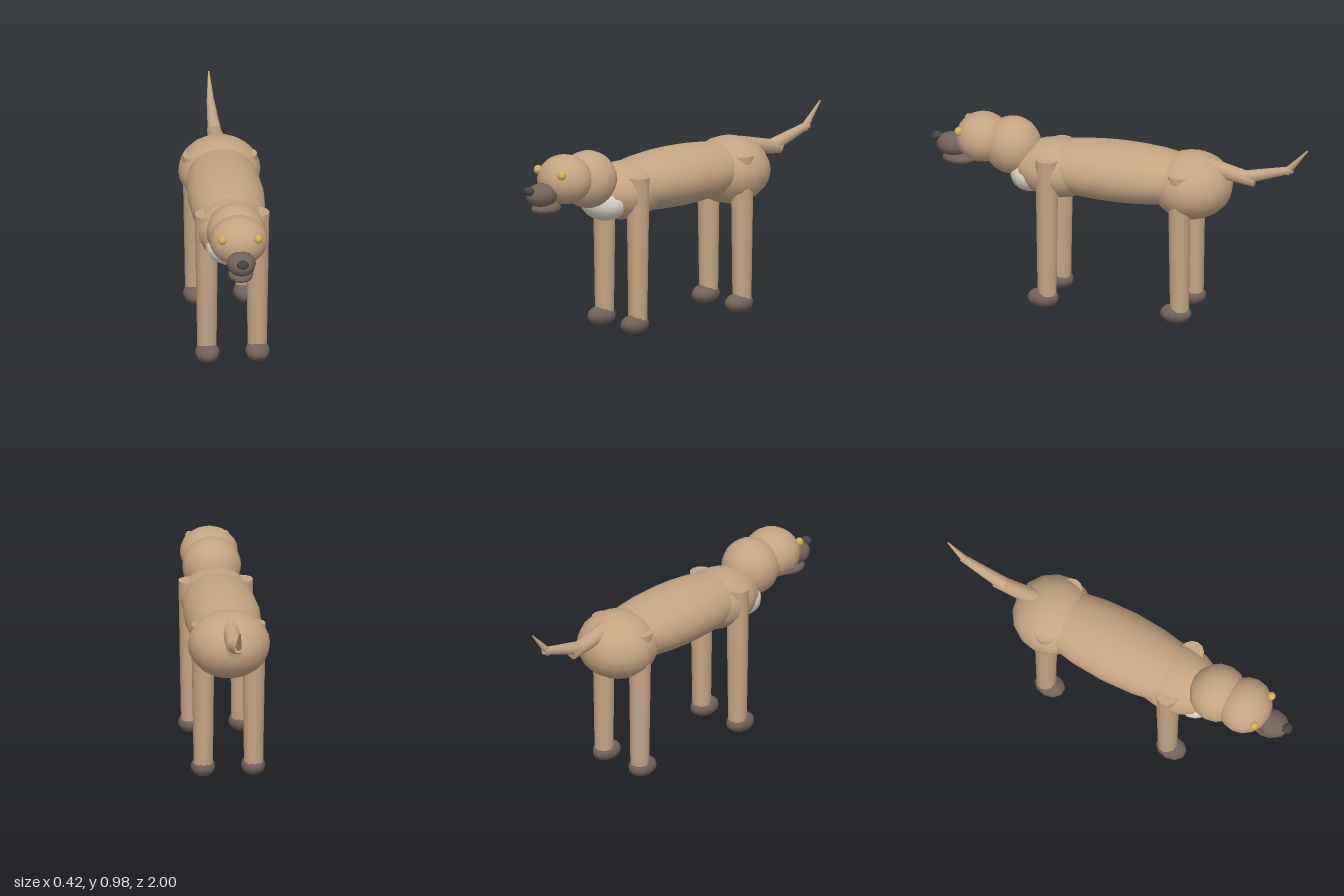
import * as THREE from 'three';

const mat = (color) => new THREE.MeshStandardMaterial({ color });

export function createModel() {
  const root = new THREE.Group();
  const fur = mat(0xc4a582), dark = mat(0x73625a), black = mat(0x4a4545);
  const cream = mat(0xdcd6c8), amber = mat(0xd0b45c);

  // stretched sphere: centre and half sizes
  function ball(name, material, pos, half, w = 16, h = 12) {
    const mesh = new THREE.Mesh(new THREE.SphereGeometry(1, w, h), material);
    mesh.name = name;
    mesh.position.set(...pos);
    mesh.scale.set(...half);
    root.add(mesh);
    return mesh;
  }

  // tapered cylinder between two points
  function limb(name, material, from, to, r0, r1, sides = 12) {
    const a = new THREE.Vector3(...from), b = new THREE.Vector3(...to);
    const dir = b.clone().sub(a);
    const mesh = new THREE.Mesh(new THREE.CylinderGeometry(r1, r0, dir.length(), sides), material);
    mesh.name = name;
    mesh.position.copy(a).add(b).multiplyScalar(0.5);
    mesh.quaternion.setFromUnitVectors(new THREE.Vector3(0, 1, 0), dir.normalize());
    root.add(mesh);
    return mesh;
  }

  // torso
  ball('torso', fur, [0, 0.74, 0], [0.195, 0.152, 0.56], 20, 14);
  ball('hips', fur, [0, 0.715, -0.38], [0.21, 0.172, 0.21]);
  ball('chest', fur, [0, 0.722, 0.33], [0.183, 0.148, 0.24]);
  ball('chestPatch', cream, [0, 0.688, 0.47], [0.145, 0.102, 0.107]);

  // neck and head
  ball('neck', fur, [0, 0.815, 0.572], [0.15, 0.147, 0.147]);
  ball('head', fur, [0, 0.84, 0.73], [0.148, 0.126, 0.136]);
  ball('muzzle', dark, [0, 0.782, 0.885], [0.075, 0.06, 0.09], 12, 8);
  ball('lowerJaw', dark, [0, 0.71, 0.855], [0.064, 0.031, 0.088], 12, 8);
  ball('nose', black, [0, 0.815, 0.972], [0.031, 0.023, 0.028], 8, 6);

  // eyes, legs and paws on both sides
  for (const side of [1, -1]) {
    const label = side > 0 ? 'left' : 'right';
    ball(label + 'Eye', amber, [side * 0.091, 0.89, 0.831], [0.022, 0.024, 0.022], 8, 6);
    for (const [end, z] of [['Front', 0.35], ['Hind', -0.352]]) {
      limb(label + end + 'Leg', fur, [side * 0.128, 0.06, z], [side * 0.13, 0.815, z], 0.049, 0.06);
      ball(label + end + 'Paw', dark, [side * 0.128, 0.05, z + 0.02], [0.063, 0.05, 0.083], 10, 8);
    }
  }

  // tail in three tapering lengths
  limb('tailBase', fur, [0, 0.83, -0.45], [0, 0.778, -0.715], 0.047, 0.034, 10);
  limb('tailMiddle', fur, [0, 0.79, -0.66], [0, 0.862, -0.91], 0.036, 0.019, 10);
  limb('tailTip', fur, [0, 0.845, -0.88], [0, 0.975, -0.992], 0.021, 0.004, 8);

  return root;
}
